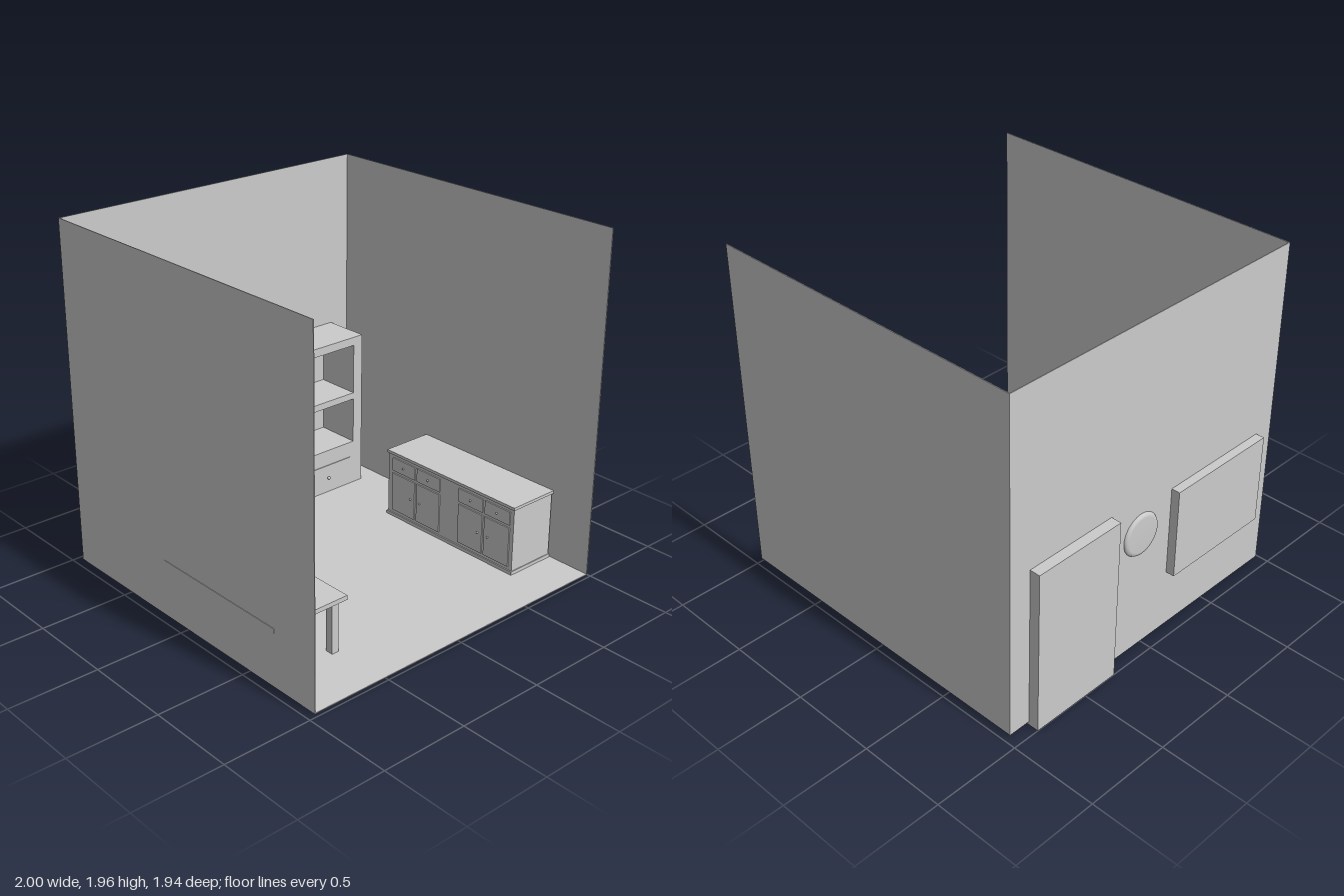
import * as THREE from 'three';

const material = new THREE.MeshStandardMaterial({ color: 0xcccccc, side: THREE.DoubleSide });

function add(parent, name, geometry) {
  const mesh = new THREE.Mesh(geometry, material);
  mesh.name = name;
  parent.add(mesh);
  return mesh;
}

// Box given by its limits on each axis
function box(parent, name, [x0, x1], [y0, y1], [z0, z1]) {
  const mesh = add(parent, name, new THREE.BoxGeometry(x1 - x0, y1 - y0, z1 - z0));
  mesh.position.set((x0 + x1) / 2, (y0 + y1) / 2, (z0 + z1) / 2);
  return mesh;
}

function knob(parent, name, x, y, z, r = 0.006) {
  add(parent, name, new THREE.SphereGeometry(r, 12, 8)).position.set(x, y, z);
}

function group(parent, name) {
  const g = new THREE.Group();
  g.name = name;
  parent.add(g);
  return g;
}

// Rectangle in the wall plane, with the shape's x running along -z
function rect(Type, [y0, y1], [z0, z1]) {
  const p = new Type();
  p.moveTo(-z1, y0);
  p.lineTo(-z0, y0);
  p.lineTo(-z0, y1);
  p.lineTo(-z1, y1);
  p.closePath();
  return p;
}

// Panel with rectangular openings, facing +x
function openPanel(parent, name, [x0, x1], ys, zs, holes) {
  const shape = rect(THREE.Shape, ys, zs);
  holes.forEach(([hy, hz]) => shape.holes.push(rect(THREE.Path, hy, hz)));
  const mesh = add(parent, name, new THREE.ExtrudeGeometry(shape, { depth: x1 - x0, bevelEnabled: false }));
  mesh.rotation.y = Math.PI / 2;
  mesh.position.x = x0;
}

function buildRoom(parent) {
  const g = group(parent, 'room');
  const t = 0.005;
  box(g, 'floor', [-0.94, 1], [0.02, 0.02 + t], [-0.97, 0.97]);
  box(g, 'sideWall', [-0.94, -0.94 + t], [0.02, 1.96], [-0.97, 0.97]);
  box(g, 'backWall', [-0.94, 1], [0.02, 1.96], [-0.97, -0.97 + t]);
  box(g, 'frontWall', [-0.94, 1], [0.02, 1.96], [0.97 - t, 0.97]);
}

// Tall bookcase with two open shelves above a drawer
function buildBookcase(parent) {
  const g = group(parent, 'bookcase');
  const ys = [0, 0.96], zs = [-0.84, -0.285], hz = [-0.775, -0.34];
  box(g, 'bookcaseBack', [-1, -0.93], ys, zs);
  openPanel(g, 'bookcaseBody', [-0.93, -0.66], ys, zs, [[[0.61, 0.91], hz], [[0.295, 0.57], hz]]);
  box(g, 'bookcaseDrawer', [-0.66, -0.655], [0.05, 0.2], [-0.75, -0.37]);
  knob(g, 'bookcaseKnob', -0.648, 0.12, -0.572, 0.01);
}

// Wall board with a recessed face and a tray with cut corners
function buildBoard(parent) {
  const g = group(parent, 'wallBoard');
  const ys = [0.37, 0.895], zs = [0.165, 0.85];
  box(g, 'boardBack', [-0.99, -0.905], ys, zs);
  openPanel(g, 'boardFrame', [-0.905, -0.89], ys, zs, [[[0.412, 0.873], [0.187, 0.828]]]);
  const tray = new THREE.Shape();
  tray.moveTo(-0.89, -0.165);
  tray.lineTo(-0.89, -0.85);
  tray.lineTo(-0.875, -0.85);
  tray.lineTo(-0.86, -0.828);
  tray.lineTo(-0.86, -0.187);
  tray.lineTo(-0.875, -0.165);
  tray.closePath();
  const mesh = add(g, 'boardTray', new THREE.ExtrudeGeometry(tray, { depth: 0.022, bevelEnabled: false }));
  mesh.rotation.x = -Math.PI / 2;
  mesh.position.y = 0.372;
}

// Round wall clock with a dished face inside a raised rim
function buildClock(parent) {
  const profile = [
    [0, -0.03], [0.1, -0.029], [0.115, -0.026], [0.122, -0.015], [0.123, 0], [0.122, 0.018],
    [0.117, 0.027], [0.112, 0.027], [0.108, 0.02], [0.08, 0.009], [0.04, 0.002], [0, 0],
  ].map(([r, y]) => new THREE.Vector2(r, y));
  const clock = add(parent, 'wallClock', new THREE.LatheGeometry(profile, 48));
  clock.rotation.z = -Math.PI / 2;
  clock.position.set(-0.928, 0.74, -0.063);
}

function buildTable(parent) {
  const g = group(parent, 'table');
  box(g, 'tableTop', [-0.155, 0.712], [0.32, 0.345], [0.51, 0.973]);
  for (const x of [-0.125, 0.635])
    for (const [z0, z1] of [[0.54, 0.582], [0.9, 0.95]])
      box(g, 'tableLeg', [x, x + 0.047], [0.025, 0.32], [z0, z1]);
}

// Low sideboard: two pairs of doors with drawers above, plain panel between
function buildSideboard(parent) {
  const g = group(parent, 'sideboard');
  box(g, 'sideboardBody', [-0.225, 0.735], [0.04, 0.415], [-0.955, -0.657]);
  box(g, 'sideboardBase', [-0.23, 0.74], [0.025, 0.045], [-0.96, -0.65]);
  box(g, 'sideboardTop', [-0.23, 0.742], [0.415, 0.432], [-0.96, -0.648]);
  const front = [-0.657, -0.65];
  for (const cx of [0, 0.522]) {
    for (const s of [-1, 1]) {
      const mid = cx + s * 0.098;
      const xs = [mid - 0.09, mid + 0.09];
      box(g, 'sideboardDrawer', xs, [0.315, 0.395], front);
      box(g, 'sideboardDoor', xs, [0.065, 0.298], front);
      knob(g, 'drawerKnob', mid, 0.355, -0.646);
      knob(g, 'doorKnob', cx + s * 0.037, 0.185, -0.646);
    }
  }
}

export function createModel() {
  const model = new THREE.Group();
  model.name = 'roomScene';
  buildRoom(model);
  buildBookcase(model);
  buildBoard(model);
  buildClock(model);
  buildTable(model);
  buildSideboard(model);
  return model;
}
